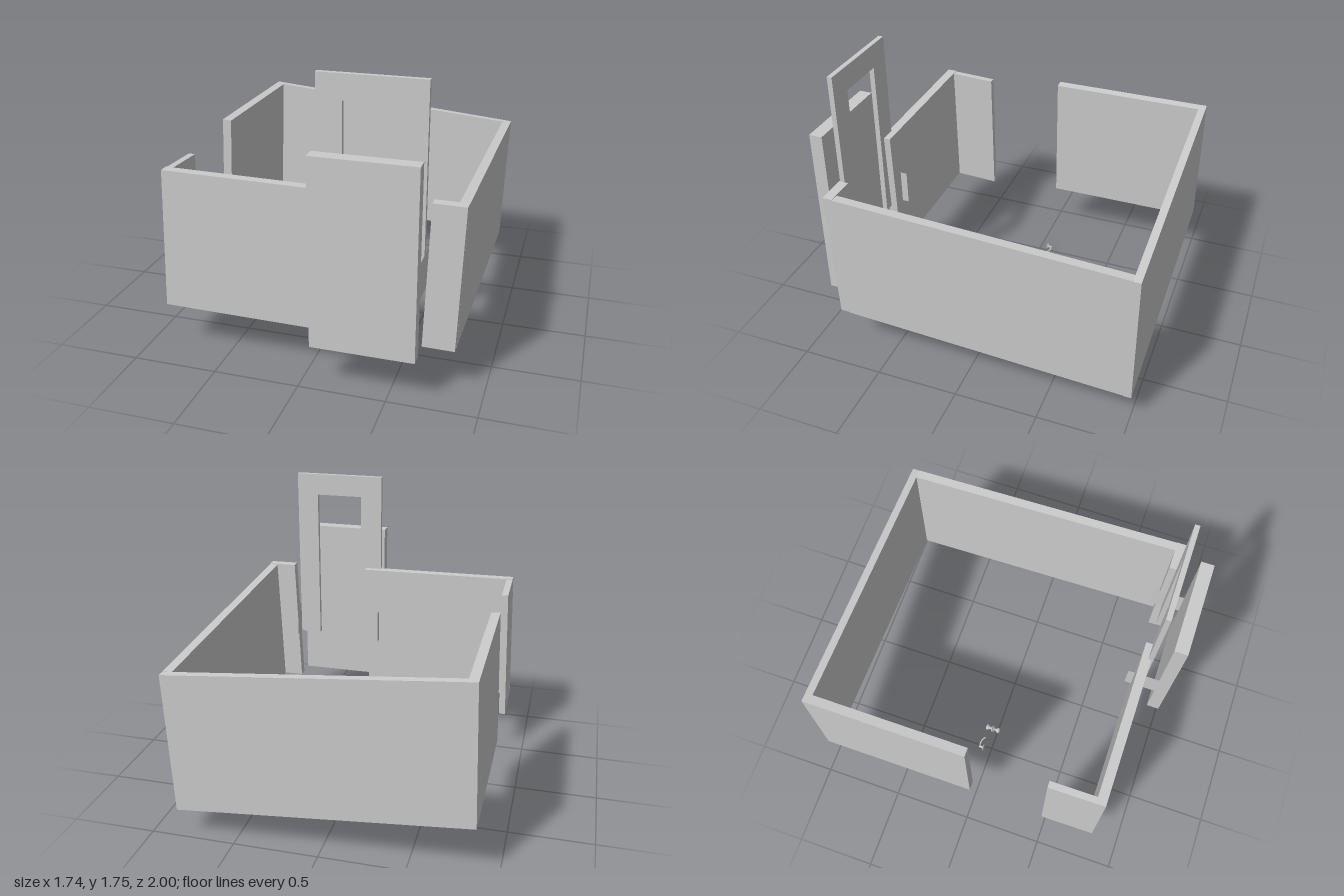
import * as THREE from 'three';

const mat = new THREE.MeshStandardMaterial({ color: 0xcccccc });
const matDouble = new THREE.MeshStandardMaterial({ color: 0xcccccc, side: THREE.DoubleSide });
const WALL_H = 0.842, LEAN = 0.031;

function add(parent, name, geo, x = 0, y = 0, z = 0, material = mat) {
  const m = new THREE.Mesh(geo, material);
  m.name = name;
  m.position.set(x, y, z);
  parent.add(m);
  return m;
}

// Leaning wall: plan given at the top edge, top height follows topAt(x, z)
function wall(parent, name, x0, x1, z0, z1, topAt) {
  const geo = new THREE.BoxGeometry(1, 1, 1);
  const p = geo.attributes.position;
  for (let i = 0; i < p.count; i++) {
    const x = p.getX(i) > 0 ? x1 : x0, z = p.getZ(i) > 0 ? z1 : z0;
    const low = p.getY(i) < 0;
    p.setXYZ(i, low ? x - LEAN : x, topAt(x, z) - (low ? WALL_H : 0), z);
  }
  geo.computeVertexNormals();
  add(parent, name, geo);
}

// Turned part, with its axis along z
function turned(parent, name, profile, x, y, z) {
  const geo = new THREE.LatheGeometry(profile.map(([r, h]) => new THREE.Vector2(r, h)), 20);
  geo.rotateX(Math.PI / 2);
  add(parent, name, geo, x, y, z, matDouble);
}

export function createModel() {
  const model = new THREE.Group();
  model.name = 'roomWithDoor';

  // Walls
  const walls = new THREE.Group();
  walls.name = 'walls';
  model.add(walls);
  const frontTop = (x) => 1.115 - 0.0117 * x;
  const backTop = (x) => 1.098 - 0.091 * x;
  wall(walls, 'frontWall', -0.84, 0.17, 0.762, 0.82, frontTop);
  wall(walls, 'frontReturn', 0.684, 0.866, 0.762, 0.82, frontTop);
  wall(walls, 'backWall', -0.84, 0.866, -1, -0.955, backTop);
  wall(walls, 'leftWall', 0.812, 0.866, -0.955, 0.762, (x, z) => 1.103 + 0.0455 * (z - 0.82));
  wall(walls, 'rightWallFront', -0.84, -0.8, 0.48, 0.762, (x, z) => 1.123 + 0.044 * (z - 0.82));
  wall(walls, 'rightWallBack', -0.84, -0.785, -0.955, -0.01, (x) => 1.174 - 0.09 * (x + 0.84));

  // Door panel
  add(model, 'door', new THREE.BoxGeometry(0.585, 1.095, 0.08), 0.3625, 0.8125, 0.958);

  // Door frame, open at the bottom
  const outline = [[0.07, 0.6], [0.21, 0.6], [0.21, 1.61], [0.515, 1.61],
    [0.515, 0.6], [0.655, 0.6], [0.655, 1.75], [0.07, 1.75]];
  const shape = new THREE.Shape(outline.map(([x, y]) => new THREE.Vector2(x, y)));
  add(model, 'doorFrame', new THREE.ExtrudeGeometry(shape, { depth: 0.03, bevelEnabled: false }), 0, 0, 0.803);

  // Thin side plates at the door edges
  for (const x of [0.07, 0.655]) {
    const plate = add(model, 'sidePlate', new THREE.PlaneGeometry(0.2, 0.215), x, 0.7075, 0.82, matDouble);
    plate.rotation.y = Math.PI / 2;
  }

  // Double door knob
  const knob = new THREE.Group();
  knob.name = 'doorKnob';
  model.add(knob);
  const half = [[0.008, 0], [0.022, 0.002], [0.022, 0.007], [0.009, 0.013], [0.008, 0.022],
    [0.014, 0.028], [0.02, 0.038], [0.018, 0.047], [0, 0.051]];
  const mirrored = half.map(([r, h]) => [r, -h]).reverse();
  turned(knob, 'knob', [...mirrored, ...half], -0.368, 0.025, -0.036);

  // Lever handle
  const lever = new THREE.Group();
  lever.name = 'leverHandle';
  model.add(lever);
  turned(lever, 'rosette', [[0, -0.03], [0.008, -0.03], [0.008, -0.008], [0.022, -0.004], [0.022, 0.003], [0, 0.003]],
    -0.515, 0.025, -0.055);
  const path = new THREE.CatmullRomCurve3([[-0.518, -0.08], [-0.49, -0.084], [-0.465, -0.08], [-0.443, -0.066]]
    .map(([x, z]) => new THREE.Vector3(x, 0.025, z)));
  add(lever, 'leverArm', new THREE.TubeGeometry(path, 16, 0.005, 10), 0, 0, 0, matDouble);

  return model;
}
